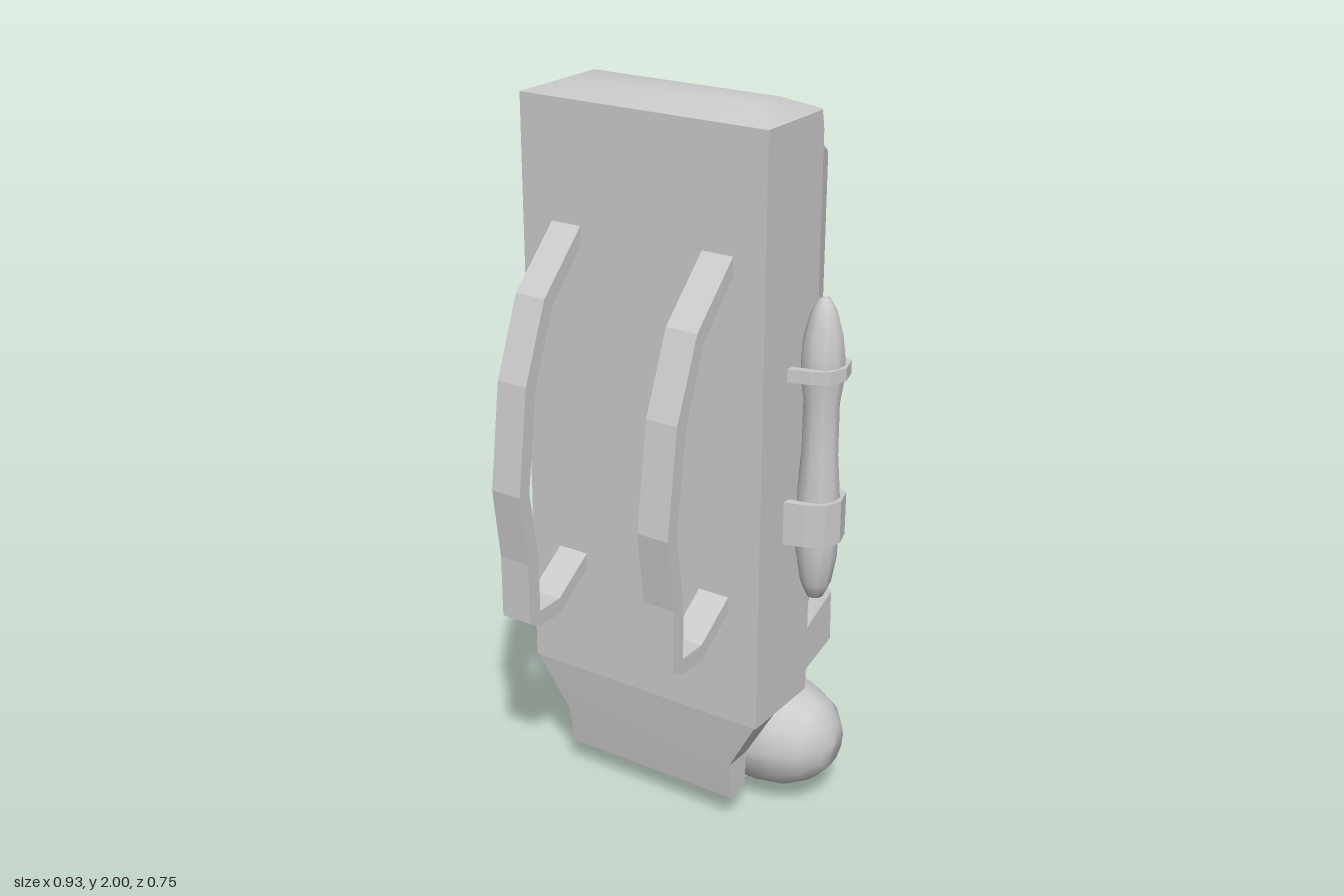
import * as THREE from 'three';
import { toCreasedNormals } from 'three/addons/utils/BufferGeometryUtils.js';

const material = new THREE.MeshStandardMaterial({ color: 0xcccccc });
const CX = -0.02; // mid-line of the pack

function add(parent, name, geometry) {
  const mesh = new THREE.Mesh(geometry, material);
  mesh.name = name;
  parent.add(mesh);
  return mesh;
}

// Skin a stack of closed convex rings of [x, y, z], cap both ends, face outward.
function loft(rings, crease = 0.6) {
  const n = rings[0].length, tris = [];
  const quad = (a, b, c, d) => tris.push([a, b, c], [a, c, d]);
  for (let i = 0; i < rings.length - 1; i++)
    for (let j = 0; j < n; j++) {
      const k = (j + 1) % n;
      quad(rings[i][j], rings[i][k], rings[i + 1][k], rings[i + 1][j]);
    }
  const first = rings[0], last = rings[rings.length - 1];
  for (let j = 1; j < n - 1; j++) {
    tris.push([first[0], first[j + 1], first[j]], [last[0], last[j], last[j + 1]]);
  }
  const v = (p) => new THREE.Vector3(...p);
  const volume = tris.reduce((s, [a, b, c]) => s + v(a).dot(v(b).cross(v(c))), 0);
  if (volume < 0) tris.forEach((t) => t.reverse());
  const g = new THREE.BufferGeometry();
  g.setAttribute('position', new THREE.Float32BufferAttribute(tris.flat(2), 3));
  g.computeVertexNormals();
  return toCreasedNormals(g, crease);
}

// Extrude a [z, y] side profile across x.
function sideExtrude(points, width) {
  const shape = new THREE.Shape(points.map(([z, y]) => new THREE.Vector2(z, y)));
  const g = new THREE.ExtrudeGeometry(shape, { depth: width, bevelEnabled: false });
  return g.translate(0, 0, -width / 2).rotateY(-Math.PI / 2);
}

// Four-cornered ring; front and back edges may sit at different heights.
const boxRing = (w, zf, yf, zb, yb) => [
  [CX - w, yf, zf], [CX + w, yf, zf], [CX + w, yb, zb], [CX - w, yb, zb]];

export function createModel() {
  const pack = new THREE.Group();
  pack.name = 'backpack';

  // Main body with chamfered back corners and a shallow crowned top
  const bodyRing = (y, w, zf, zs, wb, zb) => [
    [CX - w, y, zf], [CX + w, y, zf], [CX + w, y, zs],
    [CX + wb, y, zb], [CX - wb, y, zb], [CX - w, y, zs]];
  add(pack, 'mainBody', loft([
    bodyRing(0.36, 0.365, 0.095, -0.165, 0.325, -0.195),
    bodyRing(1.92, 0.365, 0.095, -0.165, 0.325, -0.195),
    bodyRing(1.97, 0.365, 0.095, -0.155, 0.355, -0.165),
    bodyRing(2.0, 0.28, -0.01, -0.1, 0.275, -0.105),
  ]));

  // Back compartment, tapering backward with softened edges
  const backRing = (z, w, y0, y1, c) => [
    [CX - w, y0, z], [CX + w, y0, z], [CX + w, y1 - c, z],
    [CX + w - c, y1, z], [CX - w + c, y1, z], [CX - w, y1 - c, z]];
  add(pack, 'backCompartment', loft([
    backRing(-0.18, 0.325, 0.36, 1.925, 0.04),
    backRing(-0.2, 0.323, 0.365, 1.92, 0.045),
    backRing(-0.31, 0.295, 0.395, 1.885, 0.055),
    backRing(-0.35, 0.275, 0.405, 1.87, 0.06),
    backRing(-0.365, 0.25, 0.41, 1.862, 0.06),
  ], 0.75));

  // Flared base under the back compartment
  add(pack, 'flaredBase', loft([
    boxRing(0.325, -0.19, 0.36, -0.37, 0.41),
    boxRing(0.325, -0.225, 0.5, -0.366, 0.56),
    boxRing(0.265, -0.225, 0.62, -0.362, 0.68),
  ], 0.4));

  // Lower front panel, stepping in below the body
  add(pack, 'lowerPanel', loft([
    boxRing(0.363, 0.095, 0.365, -0.025, 0.365),
    boxRing(0.27, 0.074, 0.2, -0.015, 0.2),
    boxRing(0.27, 0.055, 0.085, -0.01, 0.1),
  ], 0.3));

  // Rolled bedding with rounded ends
  const rollEnd = [[0, 0.4525], [0.065, 0.442], [0.115, 0.4], [0.147, 0.335], [0.16, 0.25]];
  const rollProfile = [
    ...rollEnd.map(([r, x]) => new THREE.Vector2(r, -x)),
    ...rollEnd.slice().reverse().map(([r, x]) => new THREE.Vector2(r, x))];
  const roll = add(pack, 'beddingRoll', new THREE.LatheGeometry(rollProfile, 12).rotateZ(Math.PI / 2));
  roll.position.set(-0.0125, 0.202, -0.175);

  // Shoulder straps and bedding straps, one pair of each
  const shoulder = [
    [0.08, 1.665], [0.25, 1.5], [0.335, 1.29], [0.375, 1.0], [0.35, 0.8], [0.35, 0.625],
    [0.305, 0.6], [0.22, 0.6], [0.08, 0.69], [0.08, 0.738], [0.22, 0.645], [0.305, 0.645],
    [0.305, 0.8], [0.335, 1.0], [0.295, 1.28], [0.22, 1.47], [0.08, 1.615]];
  const bedding = [
    [-0.37, 0.42], [-0.37, 0.34], [-0.35, 0.14], [-0.28, 0.015], [-0.21, 0.003], [-0.09, 0.003],
    [-0.005, 0.11], [-0.018, 0.13], [-0.09, 0.03], [-0.21, 0.025], [-0.27, 0.04],
    [-0.328, 0.16], [-0.335, 0.33], [-0.305, 0.41]];
  for (const side of [-1, 1]) {
    const tag = side > 0 ? 'left' : 'right';
    add(pack, tag + 'ShoulderStrap', sideExtrude(shoulder, 0.09)).position.x = CX + side * 0.228;
    add(pack, tag + 'BeddingStrap', sideExtrude(bedding, 0.09)).position.x = CX + side * 0.135;
  }

  // Slim flask on the left side
  const flaskProfile = [
    [0, 0.68], [0.022, 0.69], [0.042, 0.735], [0.055, 0.81], [0.057, 0.87], [0.057, 0.98],
    [0.048, 1.1], [0.047, 1.24], [0.057, 1.31], [0.057, 1.36], [0.05, 1.42], [0.034, 1.48],
    [0.015, 1.515], [0, 1.52]].map(([r, y]) => new THREE.Vector2(r, y));
  add(pack, 'flask', new THREE.LatheGeometry(flaskProfile, 10)).position.set(0.395, 0, -0.11);

  // Loops holding the flask against the body, drawn as [x, z] outlines
  const loopOuter = [[0.33, -0.19], [0.4, -0.188], [0.447, -0.165], [0.463, -0.11],
    [0.445, -0.06], [0.4, -0.037], [0.33, -0.015]];
  const loopInner = [[0.33, -0.168], [0.4, -0.168], [0.432, -0.15], [0.445, -0.11],
    [0.43, -0.074], [0.4, -0.056], [0.33, -0.04]];
  const strip = [...loopOuter, ...loopInner.reverse()];
  const loopShape = new THREE.Shape(strip.map(([x, z]) => new THREE.Vector2(x, -z)));
  for (const [name, y, height] of [['lowerFlaskLoop', 0.86, 0.12], ['upperFlaskLoop', 1.31, 0.035]]) {
    const g = new THREE.ExtrudeGeometry(loopShape, { depth: height, bevelEnabled: false });
    add(pack, name, g.rotateX(-Math.PI / 2)).position.y = y;
  }

  return pack;
}
